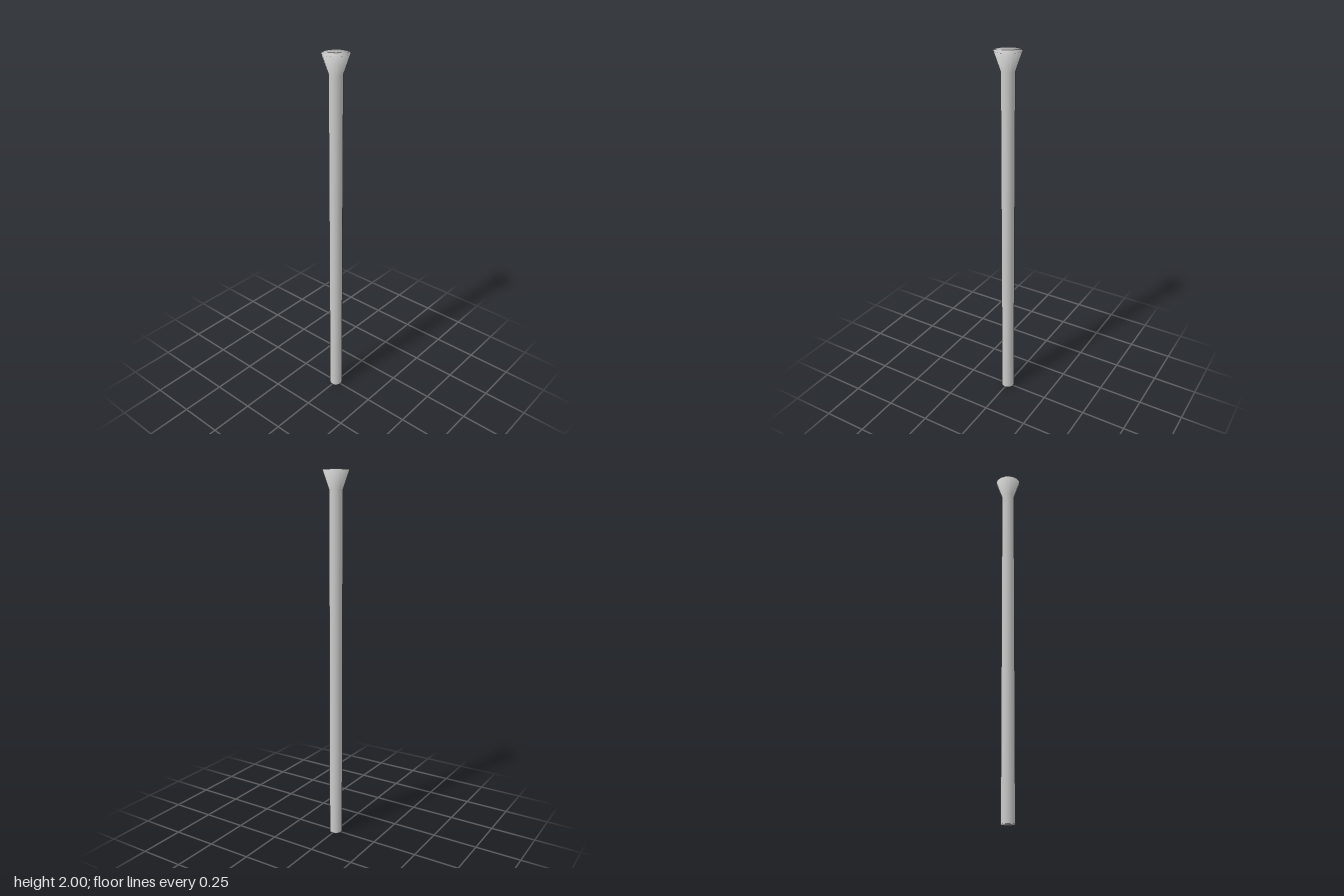
import * as THREE from 'three';

export function createModel() {
  const model = new THREE.Group();
  const material = new THREE.MeshStandardMaterial({ color: 0xcccccc });
  const shaftRadius = 0.036, headRadius = 0.071;

  // One closed, 16-sided pin turned around y: flat foot, long shaft, flared head, flat top
  const profile = [
    [0, 0],
    [shaftRadius, 0],
    [shaftRadius, 1.9],
    [headRadius, 2],
    [0, 2],
  ].map(([r, y]) => new THREE.Vector2(r, y));

  const pin = new THREE.Mesh(new THREE.LatheGeometry(profile, 16), material);
  pin.name = 'flaredPin';
  model.add(pin);
  return model;
}
